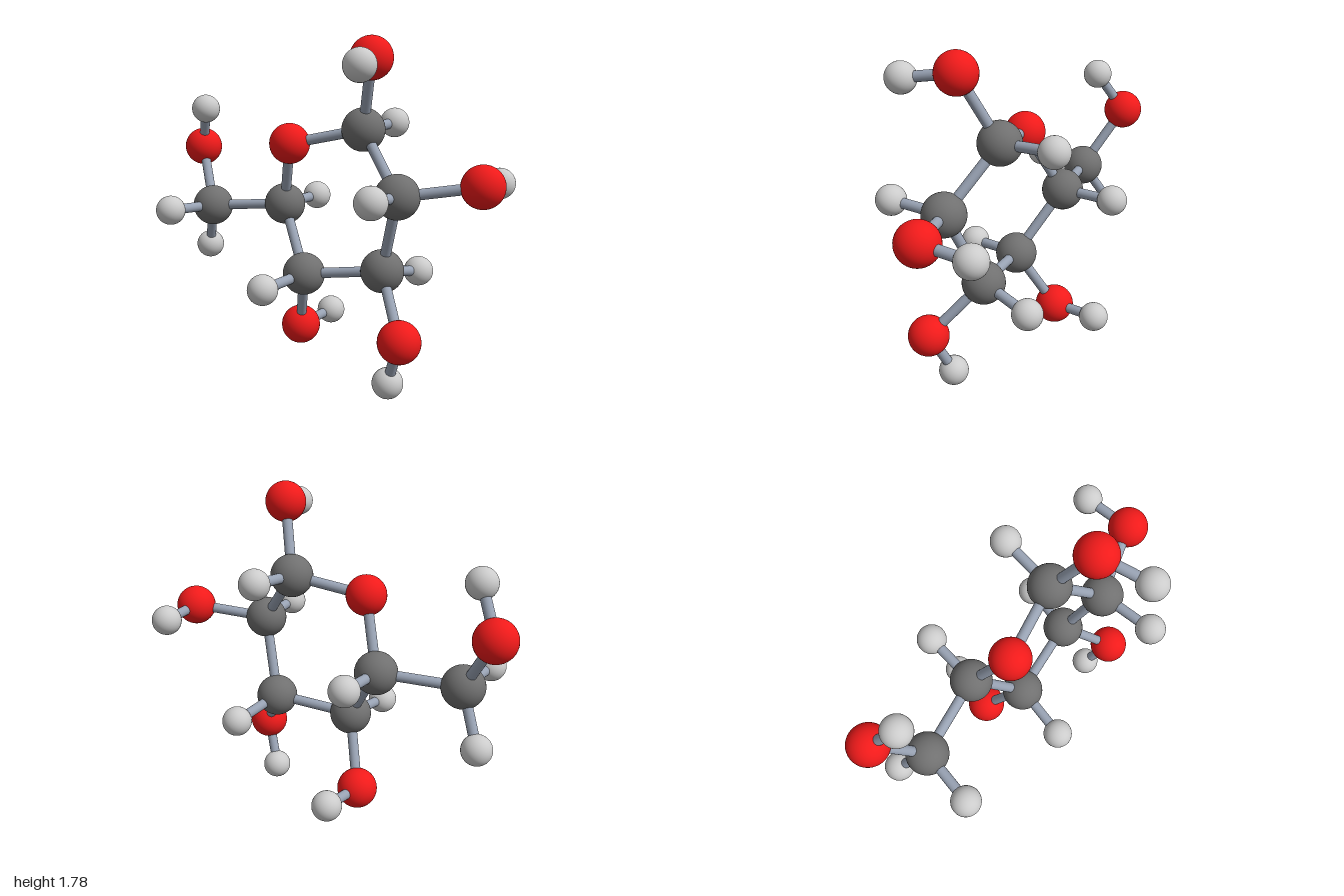
import * as THREE from 'three';

// Atom kinds: plain name, radius, colour
const KINDS = {
  C: { name: 'carbonAtom', radius: 0.112, color: 0x707070 },
  O: { name: 'oxygenAtom', radius: 0.107, color: 0xf01a1a },
  H: { name: 'hydrogenAtom', radius: 0.079, color: 0xc4c4c4 },
};
const BOND_RADIUS = 0.027;

// Atom centres; the first letter of the key is the kind
const ATOMS = {
  // ring
  C1: [0.25, 1.33, -0.06],
  C2: [0.53, 1.02, 0.06],
  C3: [0.38, 0.615, -0.05],
  C4: [-0.035, 0.565, 0.07],
  C5: [-0.275, 0.905, -0.065],
  O5: [-0.123, 1.252, 0.077],
  // side arm
  C6: [-0.69, 0.877, 0.08],
  O6: [-0.893, 1.199, -0.053],
  // hydroxyl oxygens
  O1: [0.387, 1.68, 0.08],
  O2: [0.887, 1.077, -0.125],
  O3: [0.602, 0.331, 0.14],
  O4: [-0.184, 0.222, -0.09],
  // hydrogens on carbons
  H1: [0.24, 1.356, -0.375],
  H2: [0.582, 1.03, 0.368],
  H3: [0.415, 0.565, -0.357],
  H4: [-0.05, 0.537, 0.385],
  H5: [-0.288, 0.92, -0.375],
  H6a: [-0.698, 0.883, 0.397],
  H6b: [-0.83, 0.617, -0.03],
  // hydrogens on oxygens
  HO1: [0.494, 1.638, 0.335],
  HO2: [0.847, 1.066, -0.397],
  HO3: [0.498, 0.082, 0.073],
  HO4: [-0.175, 0.247, -0.364],
  HO6: [-0.764, 1.424, 0.05],
};

// Each atom followed by the atoms bonded to it
const BONDS = {
  C1: ['C2', 'O5', 'O1', 'H1'],
  C2: ['C3', 'O2', 'H2'],
  C3: ['C4', 'O3', 'H3'],
  C4: ['C5', 'O4', 'H4'],
  C5: ['O5', 'C6', 'H5'],
  C6: ['O6', 'H6a', 'H6b'],
  O1: ['HO1'],
  O2: ['HO2'],
  O3: ['HO3'],
  O4: ['HO4'],
  O6: ['HO6'],
};

export function createModel() {
  const model = new THREE.Group();
  model.name = 'ballAndStickMolecule';

  // Atoms: smooth spheres sharing one geometry and material per kind
  const parts = {};
  for (const [key, kind] of Object.entries(KINDS)) {
    parts[key] = {
      geometry: new THREE.SphereGeometry(kind.radius, 40, 28),
      material: new THREE.MeshStandardMaterial({ color: kind.color }),
    };
  }
  for (const [key, centre] of Object.entries(ATOMS)) {
    const { geometry, material } = parts[key[0]];
    const atom = new THREE.Mesh(geometry, material);
    atom.name = KINDS[key[0]].name;
    atom.position.set(...centre);
    model.add(atom);
  }

  // Bonds: cylinders running from one atom centre to the next
  const stickMaterial = new THREE.MeshStandardMaterial({ color: 0x98a2b3 });
  const up = new THREE.Vector3(0, 1, 0);
  for (const [from, targets] of Object.entries(BONDS)) {
    const a = new THREE.Vector3(...ATOMS[from]);
    for (const to of targets) {
      const b = new THREE.Vector3(...ATOMS[to]);
      const stick = new THREE.CylinderGeometry(BOND_RADIUS, BOND_RADIUS, a.distanceTo(b), 20);
      const bond = new THREE.Mesh(stick, stickMaterial);
      bond.name = 'bond';
      bond.position.lerpVectors(a, b, 0.5);
      bond.quaternion.setFromUnitVectors(up, b.sub(a).normalize());
      model.add(bond);
    }
  }
  return model;
}
